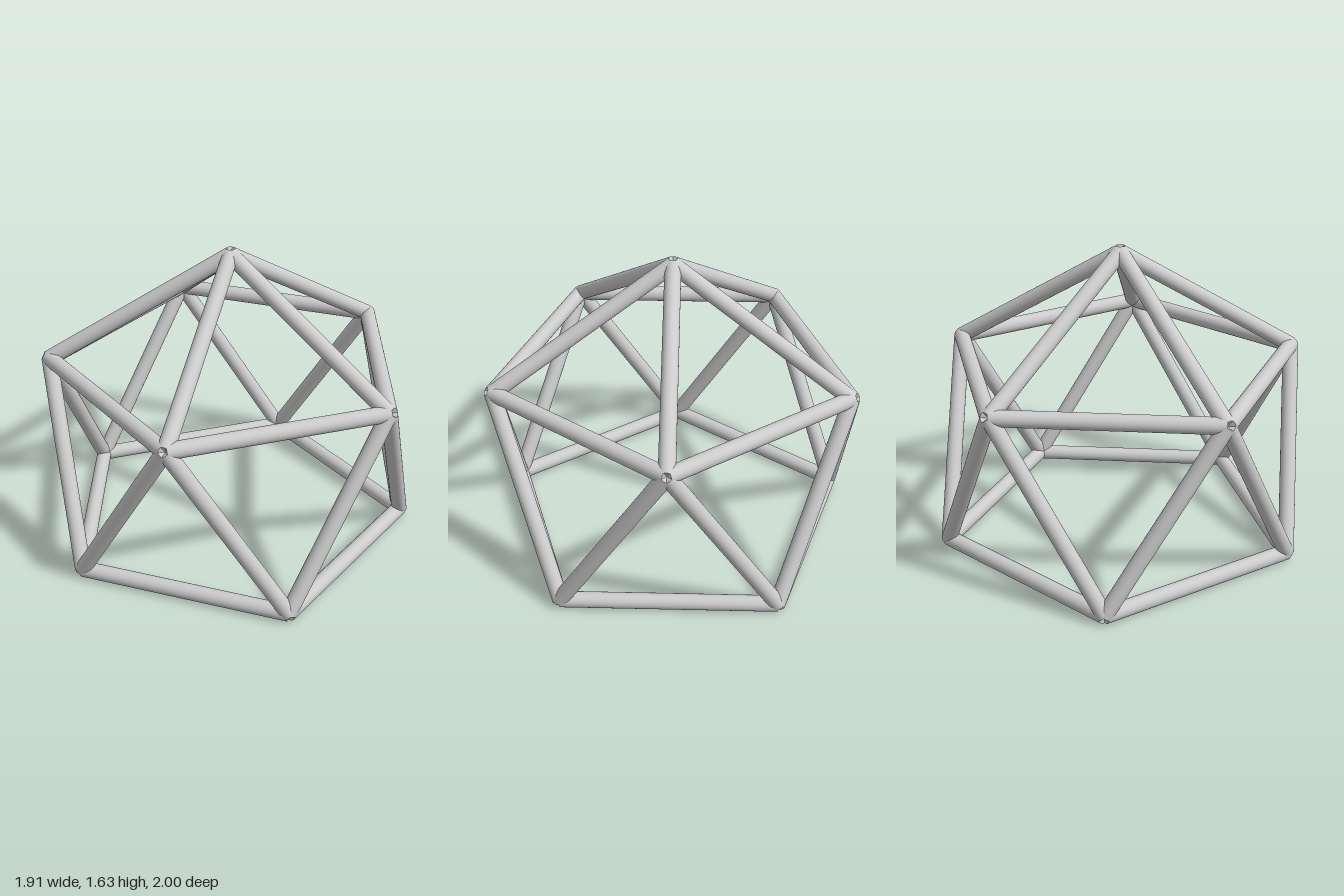
import * as THREE from 'three';

const STRUT = 0.042;       // strut radius
const RING = 0.958;        // radius of both pentagon rings, also their vertical spacing
const BASE = STRUT;        // height of the lower ring

export function createModel() {
  const model = new THREE.Group();
  model.name = 'strutDome';
  const material = new THREE.MeshStandardMaterial({ color: 0xcccccc });
  const up = new THREE.Vector3(0, 1, 0);

  // A straight round bar between two joints
  function strut(name, a, b) {
    const dir = b.clone().sub(a);
    const mesh = new THREE.Mesh(new THREE.CylinderGeometry(STRUT, STRUT, dir.length(), 32), material);
    mesh.position.copy(a).add(b).multiplyScalar(0.5);
    mesh.quaternion.setFromUnitVectors(up, dir.normalize());
    mesh.name = name;
    model.add(mesh);
  }

  // Joints: lower pentagon points forward, upper pentagon points back
  const joint = (i, y) => {
    const t = (i * Math.PI) / 5;
    return new THREE.Vector3(RING * Math.sin(t), y, RING * Math.cos(t));
  };
  const lower = [0, 2, 4, 6, 8].map((i) => joint(i, BASE));
  const upper = [1, 3, 5, 7, 9].map((i) => joint(i, BASE + RING));
  const apex = new THREE.Vector3(0, BASE + RING * (1 + Math.sqrt(5)) / 2, 0);

  for (let i = 0; i < 5; i++) {
    const next = (i + 1) % 5;
    strut('baseRingStrut', lower[i], lower[next]);
    strut('upperRingStrut', upper[i], upper[next]);
    strut('wallStrut', lower[i], upper[i]);
    strut('wallStrut', upper[i], lower[next]);
    strut('roofStrut', upper[i], apex);
  }
  return model;
}
